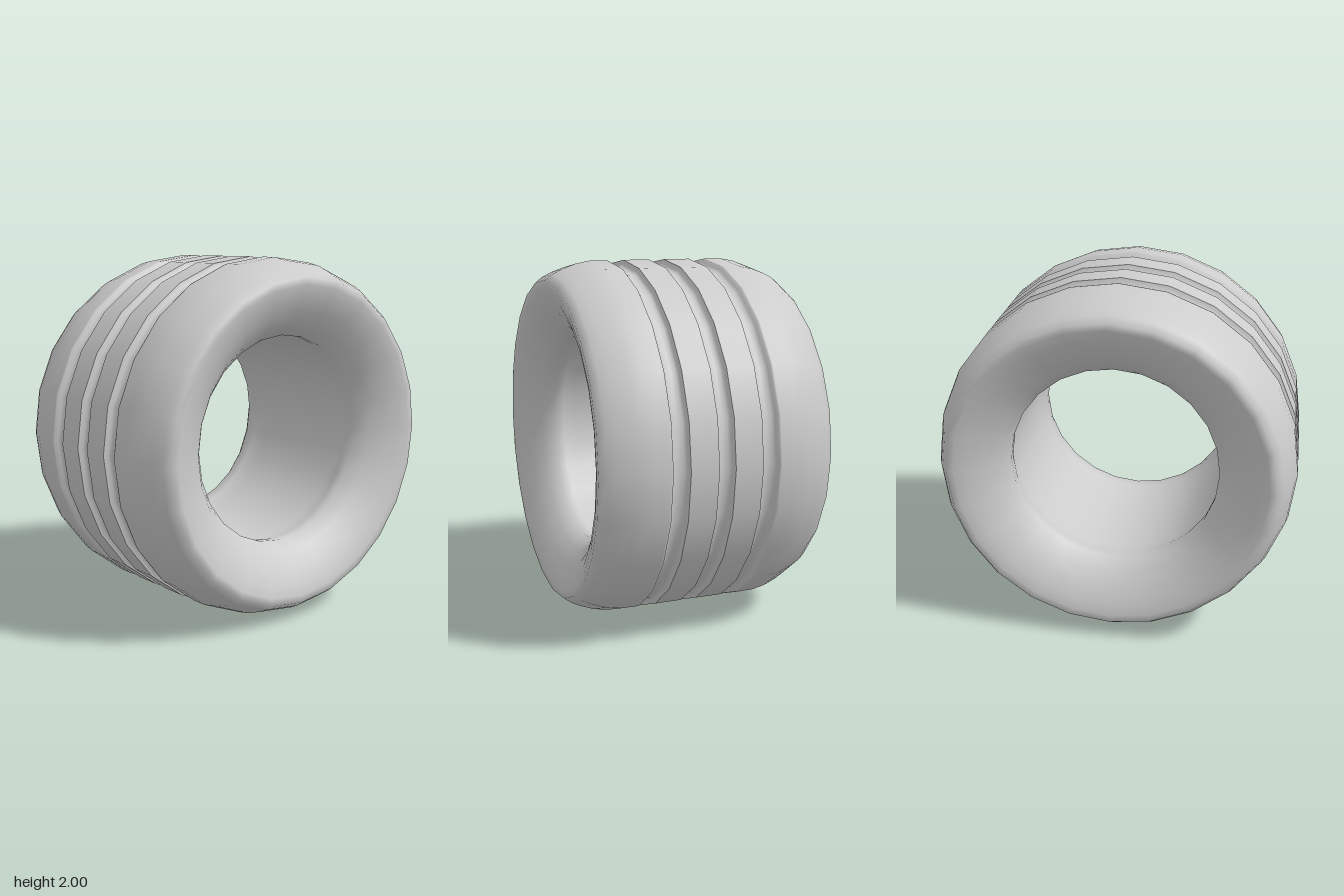
import * as THREE from 'three';

const SEGMENTS = 24;
const rubber = new THREE.MeshStandardMaterial({ color: 0xcccccc });
rubber.name = 'grey rubber';

// Revolve a profile of [x, radius] points around the x axis
function ring(name, profile) {
  const points = profile.map(([x, r]) => new THREE.Vector2(r, x));
  const geometry = new THREE.LatheGeometry(points, SEGMENTS);
  geometry.rotateZ(-Math.PI / 2);
  const mesh = new THREE.Mesh(geometry, rubber);
  mesh.name = name;
  return mesh;
}

// Mirror a profile across x = 0, keeping the outward direction
const mirrored = (profile) => profile.map(([x, r]) => [-x, r]).reverse();

export function createModel() {
  const group = new THREE.Group();
  group.name = 'tyre';
  const body = new THREE.Group();
  body.name = 'tyreBody';
  body.position.y = 1;
  group.add(body);

  // Side groove, shoulder, sidewall, bead and inner wall of one half
  const half = [
    [0.2, 1], [0.207, 0.975], [0.22, 0.964], [0.245, 0.96], [0.27, 0.965], [0.285, 0.978], [0.293, 0.998],
    [0.305, 1], [0.4, 0.999], [0.48, 0.984], [0.56, 0.955], [0.61, 0.93], [0.65, 0.9],
    [0.647, 0.86], [0.63, 0.8], [0.59, 0.72], [0.53, 0.64], [0.46, 0.58],
    [0.4, 0.587], [0.31, 0.612],
  ];
  body.add(ring('carcass', [...half, ...mirrored(half)]));

  // Flat tread ribs either side of the centre groove
  const rib = [[0.045, 1], [0.2, 1]];
  body.add(ring('leftRib', rib), ring('rightRib', mirrored(rib)));

  // Rounded centre groove
  const groove = [[0, 0.96], [0.022, 0.963], [0.037, 0.975], [0.045, 1]];
  body.add(ring('centreGroove', [...mirrored(groove).slice(0, -1), ...groove]));

  return group;
}
